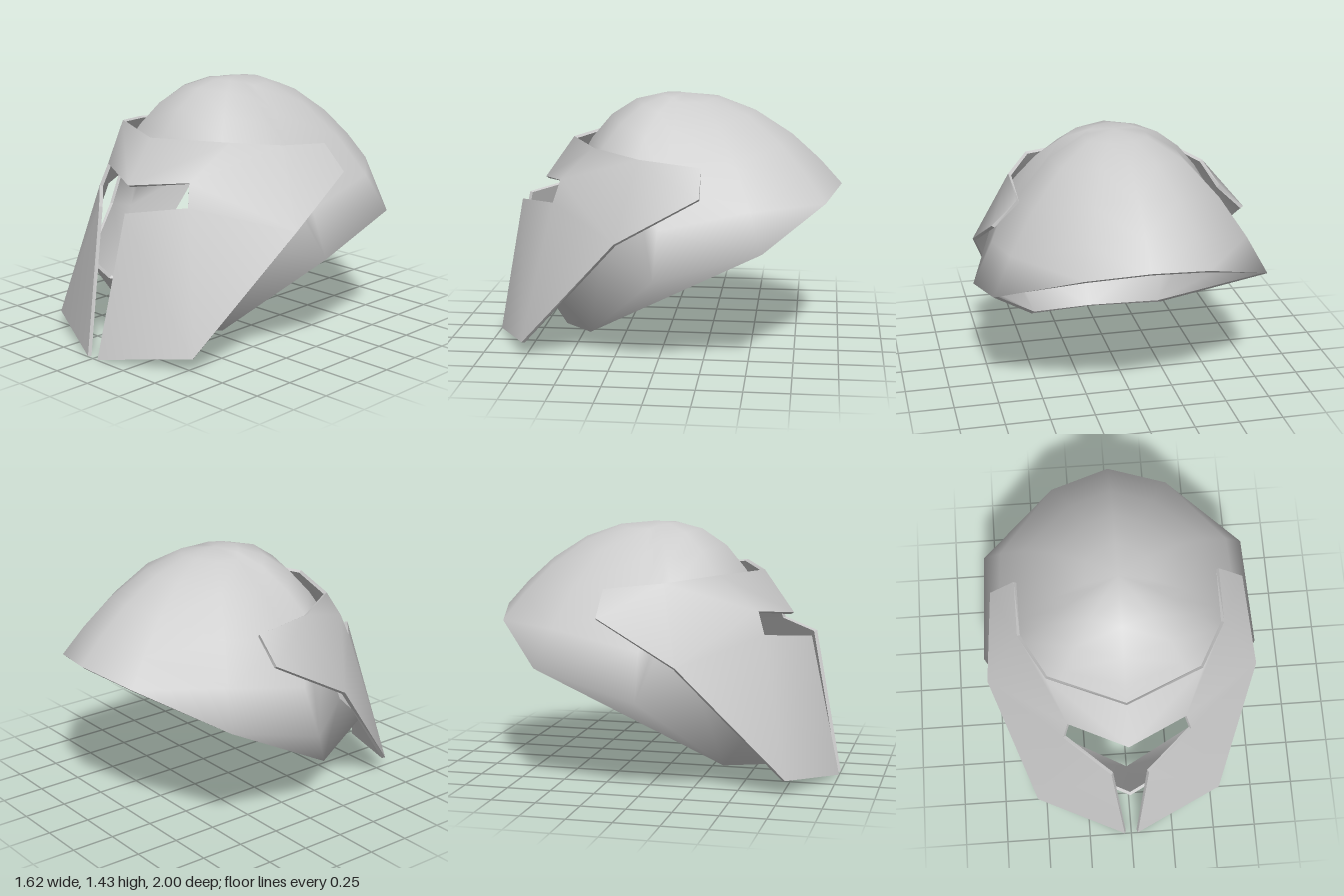
import * as THREE from 'three';
import { mergeGeometries } from 'three/addons/utils/BufferGeometryUtils.js';

const THICKNESS = 0.02;

// Mirrors a half surface across x = 0 and gives it thickness, with smooth faces and sharp rims.
function mirroredShell(half, halfFaces, centre) {
  const points = half.map((p) => new THREE.Vector3(...p));
  const twin = half.map((p, i) => {
    if (p[0] === 0) return i;
    points.push(new THREE.Vector3(-p[0], p[1], p[2]));
    return points.length - 1;
  });

  const faces = [];
  for (const face of halfFaces) {
    let [a, b, c] = face;
    const [A, B, C] = [points[a], points[b], points[c]];
    const normal = B.clone().sub(A).cross(C.clone().sub(A));
    const outward = A.clone().add(B).add(C).divideScalar(3).sub(centre);
    if (normal.dot(outward) < 0) [b, c] = [c, b];
    faces.push([a, b, c], [twin[a], twin[c], twin[b]]);
  }

  const surface = (verts, tris) => {
    const g = new THREE.BufferGeometry().setFromPoints(verts);
    g.setIndex(tris.flat());
    g.computeVertexNormals();
    return g;
  };
  const outer = surface(points, faces);
  const normals = outer.attributes.normal;
  const inside = points.map((p, i) =>
    p.clone().addScaledVector(new THREE.Vector3().fromBufferAttribute(normals, i), -THICKNESS));
  // points on the middle line stay there
  inside.forEach((p, i) => { if (points[i].x === 0) p.x = 0; });
  const inner = surface(inside, faces.map(([a, b, c]) => [a, c, b]));

  // Rim walls along every open edge
  const edges = new Set();
  for (const [a, b, c] of faces) for (const e of [[a, b], [b, c], [c, a]]) edges.add(e.join());
  const wall = [];
  for (const e of edges) {
    const [a, b] = e.split(',').map(Number);
    if (edges.has(`${b},${a}`)) continue;
    wall.push(points[b], points[a], inside[a], points[b], inside[a], inside[b]);
  }
  const rim = new THREE.BufferGeometry().setFromPoints(wall);
  rim.computeVertexNormals();
  return mergeGeometries([outer.toNonIndexed(), inner.toNonIndexed(), rim]);
}

// Rounded skull cap with side flaps and a chin guard around the face opening
function domeGeometry() {
  const apex = [0, 1.43, -0.1];
  // lower end of each rib from front to back, and how strongly the rib bulges
  const ribs = [
    [0, 1.01, 0.53, 3], [0.38, 1.03, 0.4, 2.6], [0.62, 0.97, 0.17, 2.3],
    [0.81, 0.52, 0, 2.2], [0.77, 0.68, -0.58, 2.1], [0.34, 0.87, -0.91, 2.1], [0, 0.92, -1, 2.1],
  ];
  const steps = [0.22, 0.45, 0.68, 0.86, 1];
  const n = steps.length;
  const pts = [apex];
  for (const [x, y, z, power] of ribs) {
    for (const t of steps) {
      pts.push([x * t, apex[1] + (y - apex[1]) * t ** power, apex[2] + (z - apex[2]) * t]);
    }
  }
  const id = (rib, row) => 1 + rib * n + row;
  const faces = [];
  for (let r = 0; r < ribs.length - 1; r++) {
    faces.push([0, id(r, 0), id(r + 1, 0)]);
    for (let k = 0; k < n - 1; k++) {
      faces.push([id(r, k), id(r, k + 1), id(r + 1, k + 1)], [id(r, k), id(r + 1, k + 1), id(r + 1, k)]);
    }
  }
  // flaps and chin guard
  const temple = id(2, n - 1), side = id(3, n - 1), rear = id(4, n - 1);
  const cheek = pts.length, jaw = cheek + 1, chinTop = cheek + 2, jawRim = cheek + 3, chinRim = cheek + 4;
  pts.push([0.65, 0.62, 0.29], [0.5, 0.37, 0.6], [0, 0.43, 0.87], [0.41, 0.11, 0.4], [0, 0.03, 0.61]);
  faces.push(
    [temple, side, cheek], [cheek, side, jawRim], [side, rear, jawRim],
    [cheek, jawRim, jaw], [jaw, jawRim, chinRim], [jaw, chinRim, chinTop],
  );
  return mirroredShell(pts, faces, new THREE.Vector3(0, 0.7, -0.1));
}

// Angular face plate with a brow, eye slots and a central slit
function visorGeometry() {
  const pts = [
    [0.04, 0, 1],          // 0 slit bottom
    [0.105, 0.81, 0.84],   // 1 slit top
    [0.36, 0.845, 0.615],  // 2 eye outer bottom
    [0.33, 0.97, 0.575],   // 3 eye outer top
    [0, 0.925, 0.72],      // 4 brow point
    [0, 1.165, 0.55],      // 5 top middle
    [0.43, 1.175, 0.37],   // 6 top corner
    [0.575, 1.14, 0.1],    // 7 temple top
    [0.58, 1.1, -0.24],    // 8 rear top
    [0.725, 0.96, -0.24],  // 9 rear bottom
    [0.78, 0.715, 0.21],   // 10 side corner
    [0.55, 0.08, 0.77],    // 11 cheek bottom
  ];
  const faces = [
    [0, 11, 1], [1, 11, 2], [2, 11, 10], [2, 10, 3], [3, 10, 7],
    [10, 9, 7], [9, 8, 7], [3, 7, 6], [4, 3, 6], [4, 6, 5],
  ];
  return mirroredShell(pts, faces, new THREE.Vector3(0, 0.6, 0));
}

export function createModel() {
  const steel = new THREE.MeshStandardMaterial({ color: 0xcccccc });
  steel.name = 'light grey steel';
  const model = new THREE.Group();
  model.name = 'helmet';
  for (const [name, geometry] of [['dome', domeGeometry()], ['visor', visorGeometry()]]) {
    const mesh = new THREE.Mesh(geometry, steel);
    mesh.name = name;
    model.add(mesh);
  }
  return model;
}
